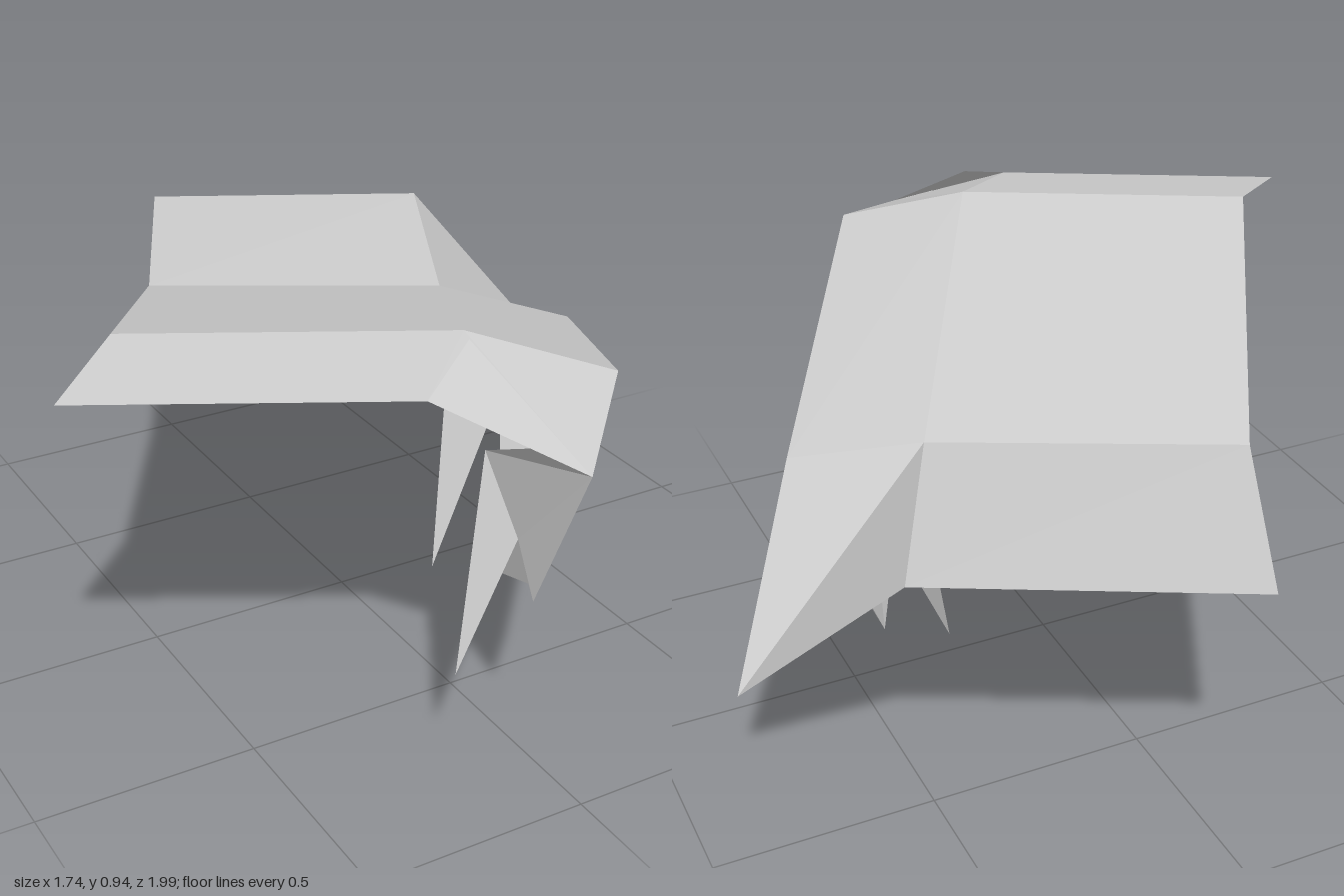
import * as THREE from 'three';

const material = new THREE.MeshStandardMaterial({
  color: 0xcccccc, flatShading: true, side: THREE.DoubleSide,
});

// Corners of the folded sheet
const P = {
  tailLeft: [-0.02, 0.705, -1], tailRight: [0.61, 0.705, -0.675],
  hipLeft: [-0.28, 0.69, -0.46], hipRight: [0.35, 0.68, -0.13],
  wingTop: [-0.68, 0.93, 0.27], wingTip: [-0.87, 0.89, 0.44],
  crown: [-0.06, 0.93, 0.6], brow: [-0.25, 0.89, 0.77],
  shoulder: [0.2, 0.85, 0.77], nose: [-0.02, 0.77, 0.99],
  flank: [0.61, 0.61, 0.05], flankTip: [0.87, 0.295, -0.335],
  chin: [-0.02, 0.405, 0.825], chest: [0.05, 0.365, 0.71],
  hindFoot: [0.365, 0.005, 0.15], notchFront: [0.52, 0.365, 0.115],
  notchMid: [0.555, 0.345, 0.06], notchBack: [0.575, 0.29, 0.02],
  earTip: [-0.1, 0.95, 0.68], earBase: [-0.1, 0.815, 0.91],
  innerFold: [0.42, 0.45, 0.05], innerTop: [0.36, 0.62, -0.09],
  innerFoot: [0.23, 0.01, 0.055],
  foreFoot: [-0.18, 0.26, 0.79], foreInner: [-0.04, 0.54, 0.79],
  foreTop: [-0.08, 0.72, 0.72],
};

// A flat or folded panel: each outline is a fan of triangles from its first corner
function panel(name, ...outlines) {
  const positions = [];
  for (const outline of outlines) {
    const corners = outline.split(' ').map((key) => P[key]);
    for (let i = 1; i < corners.length - 1; i++) {
      positions.push(...corners[0], ...corners[i], ...corners[i + 1]);
    }
  }
  const geometry = new THREE.BufferGeometry();
  geometry.setAttribute('position', new THREE.Float32BufferAttribute(positions, 3));
  geometry.computeVertexNormals();
  const mesh = new THREE.Mesh(geometry, material);
  mesh.name = name;
  return mesh;
}

export function createModel() {
  const group = new THREE.Group();
  group.name = 'foldedPaperAnimal';

  group.add(
    // Upper surfaces
    panel('back', 'wingTop crown hipRight hipLeft'),
    panel('tail', 'hipLeft hipRight tailRight tailLeft'),
    panel('wingEdge', 'wingTip brow crown wingTop'),
    panel('ridgeSlope', 'crown shoulder flank hipRight'),
    panel('rearFlank', 'hipRight flank flankTip tailRight'),
    panel('headTop', 'crown brow nose shoulder'),

    // Large side wall with its lower hind point
    panel('side',
      'shoulder nose chin chest hindFoot flank',
      'flank hindFoot notchFront notchMid notchBack flankTip'),

    // Small flap turned back over the head
    panel('earFlap', 'brow earBase nose earTip'),

    // Inner folds tapering into the thin legs
    panel('neckFold', 'nose chin foreInner foreTop earBase'),
    panel('foreLeg', 'foreFoot foreInner foreTop'),
    panel('hindFold', 'hindFoot notchFront innerFold'),
    panel('hindLeg', 'innerFoot innerFold innerTop', 'innerFold notchFront notchMid'),
  );
  return group;
}
